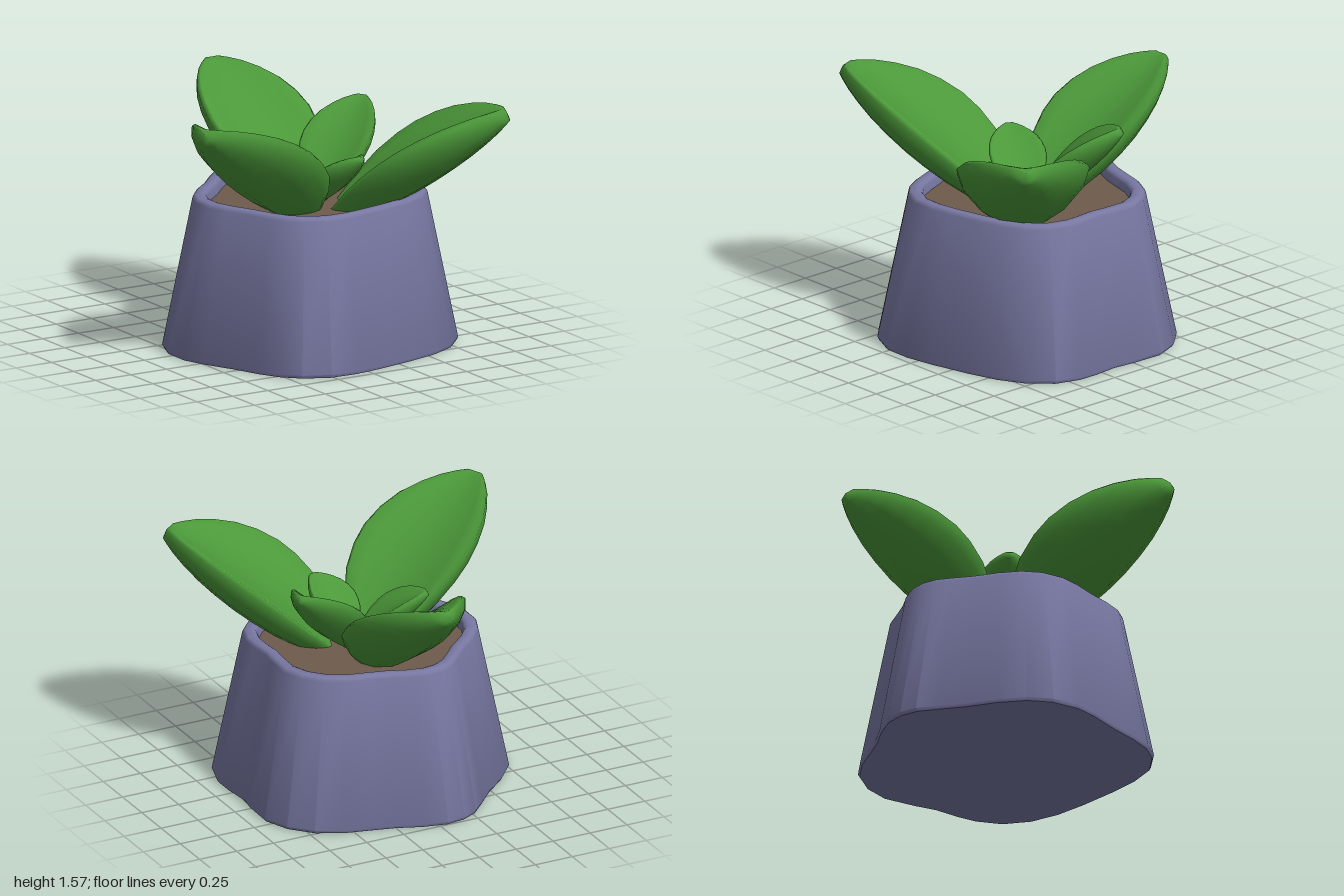
import * as THREE from 'three';
import { toCreasedNormals } from 'three/addons/utils/BufferGeometryUtils.js';

const V = (x, y, z) => new THREE.Vector3(x, y, z);

// Skins a list of closed rings that all have the same number of points
function loft(rings) {
  const n = rings[0].length, index = [];
  for (let i = 0; i < rings.length - 1; i++) {
    for (let j = 0; j < n; j++) {
      const a = i * n + j, b = i * n + (j + 1) % n;
      index.push(a, a + n, b, b, a + n, b + n);
    }
  }
  const g = new THREE.BufferGeometry().setFromPoints(rings.flat());
  g.setIndex(index);
  g.computeVertexNormals();
  return g;
}

// Irregular footprint of the pot, as x, z pairs
const FOOTPRINT = [
  [-0.81, 0.13], [-0.81, -0.05], [-0.75, -0.2], [-0.63, -0.34], [-0.48, -0.47], [-0.36, -0.6],
  [-0.27, -0.69], [-0.17, -0.74], [-0.05, -0.755], [0.1, -0.72], [0.25, -0.66], [0.4, -0.62],
  [0.56, -0.58], [0.72, -0.5], [0.84, -0.37], [0.905, -0.21], [0.9, 0], [0.885, 0.14],
  [0.9, 0.3], [0.9, 0.43], [0.85, 0.59], [0.73, 0.72], [0.56, 0.81], [0.36, 0.87], [0.1, 0.93],
  [-0.09, 0.96], [-0.27, 0.955], [-0.43, 0.88], [-0.53, 0.78], [-0.6, 0.65], [-0.67, 0.47], [-0.76, 0.28],
];
const CENTRE = V(0.08, 0, 0.14);
const potRing = ([scale, y]) => FOOTPRINT.map(([x, z]) => V(x, 0, z).sub(CENTRE).multiplyScalar(scale).add(CENTRE).setY(y));

// Leaf half-width along its length: position, fraction of the widest
const LEAF = [
  [0, 0.16], [0.1, 0.42], [0.2, 0.67], [0.32, 0.88], [0.44, 0.98], [0.54, 1], [0.65, 0.94],
  [0.75, 0.82], [0.84, 0.64], [0.91, 0.45], [0.96, 0.27], [0.99, 0.14], [1, 0],
];

// Fleshy cupped leaf from base to tip
function leafGeometry(base, tip, width) {
  const d = tip.clone().sub(base).normalize();
  const side = d.clone().cross(V(0, 1, 0)).normalize();
  const up = side.clone().cross(d);
  const rings = LEAF.map(([t, f]) => {
    const end = t === 1 ? 0 : 1;
    const thick = width * (0.1 + 0.28 * f) * end;
    const cup = width * 0.38 * f;
    const bow = width * 0.05 * Math.sin(Math.PI * t);
    return Array.from({ length: 16 }, (_, k) => {
      const a = (k / 16) * Math.PI * 2, c = Math.cos(a), s = Math.sin(a);
      const round = Math.sign(s) * Math.abs(s) ** 0.8 * (s > 0 ? 0.6 : 1);
      const lift = round * thick + cup * c * c + bow;
      return base.clone().lerp(tip, t).addScaledVector(side, c * width * f).addScaledVector(up, lift);
    });
  });
  return loft(rings);
}

export function createModel() {
  const model = new THREE.Group();
  const material = (name, color) => Object.assign(new THREE.MeshStandardMaterial({ color }), { name });
  const clay = material('greyBlueClay', 0x7878a3);
  const earth = material('brownSoil', 0x6e5c4c);
  const green = material('leafGreen', 0x4b9839);

  const add = (name, geometry, mat, parent = model) => {
    const mesh = new THREE.Mesh(geometry, mat);
    mesh.name = name;
    parent.add(mesh);
  };

  // Pot: floor, tapering wall, rounded rim and inner wall
  const profile = [
    [0, 0], [0.988, 0], [1, 0.02], [0.795, 0.92], [0.789, 0.935], [0.775, 0.945],
    [0.725, 0.945], [0.705, 0.937], [0.695, 0.92], [0.69, 0.85],
  ];
  add('pot', toCreasedNormals(loft(profile.map(potRing)), 0.75), clay);

  // Soil surface inside the rim
  add('soil', loft([[0.7, 0.87], [0.35, 0.87], [0, 0.87]].map(potRing)), earth);

  // Leaves: base, tip, half-width
  const leaves = new THREE.Group();
  leaves.name = 'leaves';
  model.add(leaves);
  [
    ['backLeaf', V(0.075, 0.77, 0.05), V(0.07, 1.505, -0.98), 0.355],
    ['rightLeaf', V(0.05, 0.77, 0.17), V(-0.985, 1.55, 0.66), 0.385],
    ['leftLeaf', V(0.14, 0.75, 0.24), V(0.975, 1.475, 0.94), 0.4],
    ['smallLeftLeaf', V(0.13, 0.86, 0.15), V(0.63, 1.39, -0.13), 0.23],
    ['smallRightLeaf', V(0.1, 0.87, 0.17), V(-0.28, 1.2, -0.04), 0.175],
    ['smallFrontLeaf', V(0.11, 0.88, 0.18), V(0.22, 1.2, 0.51), 0.16],
  ].forEach(([name, base, tip, width]) => add(name, leafGeometry(base, tip, width), green, leaves));

  return model;
}
